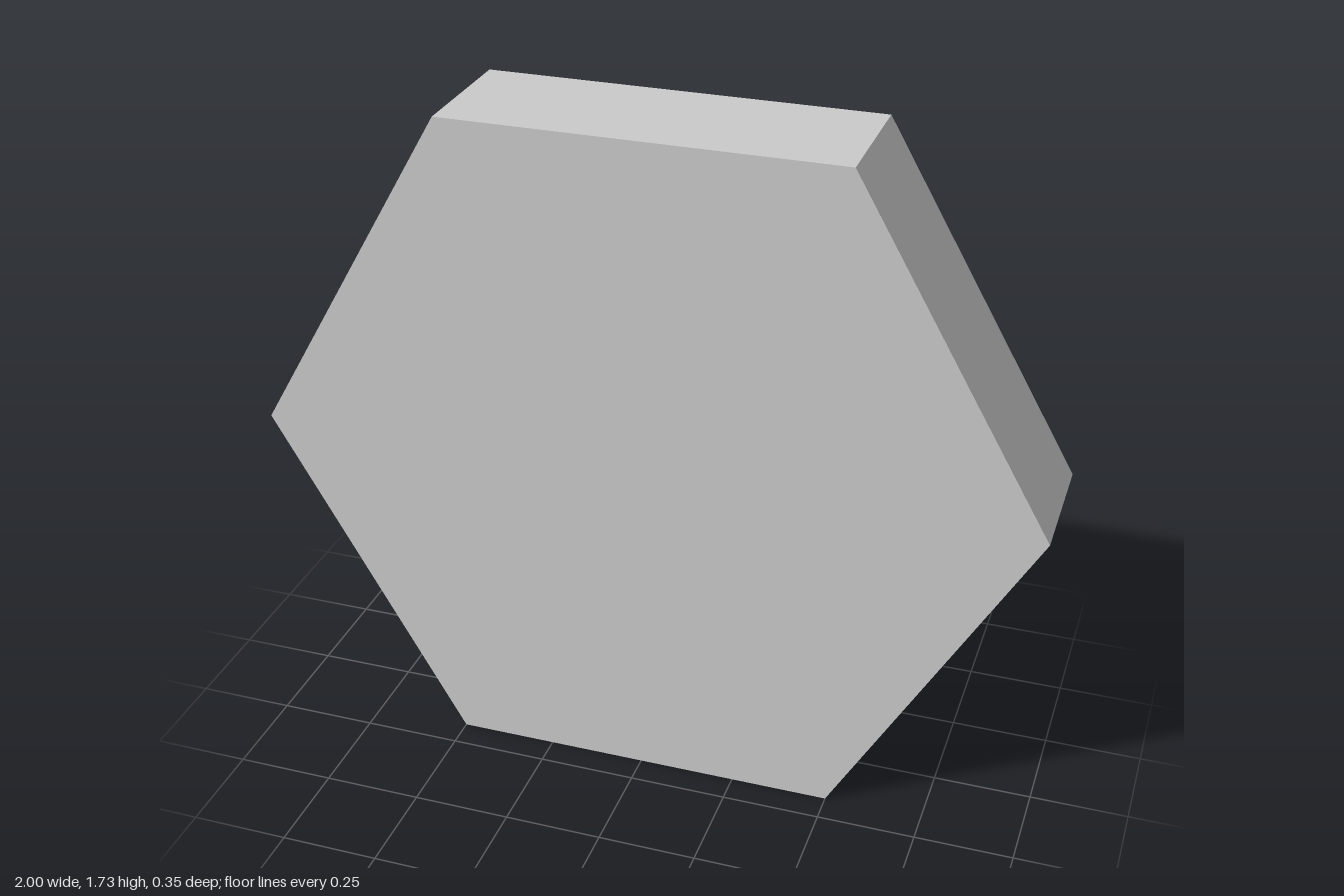
import * as THREE from 'three';

const RADIUS = 1;          // corner radius of the hexagon
const THICKNESS = 0.346;
const RECESS_RADIUS = 0.61;
const RECESS_DEPTH = 0.087;
const SEGMENTS = 96;

function hexagon() {
  const corners = [];
  for (let i = 0; i < 6; i++) {
    const a = (i * Math.PI) / 3;
    corners.push(new THREE.Vector2(RADIUS * Math.cos(a), RADIUS * Math.sin(a)));
  }
  return new THREE.Shape(corners);
}

export function createModel() {
  const group = new THREE.Group();
  group.name = 'hexagonalPlate';
  const smooth = new THREE.MeshStandardMaterial({ color: 0xcccccc });
  const flat = new THREE.MeshStandardMaterial({ color: 0xcccccc, flatShading: true });
  const centreY = (RADIUS * Math.sqrt(3)) / 2;
  const front = THICKNESS / 2;
  const back = -front;

  const add = (name, geometry, material) => {
    const mesh = new THREE.Mesh(geometry, material);
    mesh.name = name;
    mesh.position.y = centreY;
    group.add(mesh);
  };

  // Six outer sides, with corners pointing left and right
  add('outerSides', new THREE.CylinderGeometry(RADIUS, RADIUS, THICKNESS, 6, 1, true, Math.PI / 6)
    .rotateX(Math.PI / 2), flat);

  // Plain front face
  add('frontFace', new THREE.ShapeGeometry(hexagon()).translate(0, 0, front), flat);

  // Back face around the round recess
  const rim = hexagon();
  rim.holes.push(new THREE.Path().absarc(0, 0, RECESS_RADIUS, 0, Math.PI * 2, true));
  add('backFace', new THREE.ShapeGeometry(rim, SEGMENTS / 2)
    .rotateY(Math.PI).translate(0, 0, back), flat);

  // Recess wall (facing inwards) and floor
  const wall = [
    new THREE.Vector2(RECESS_RADIUS, back + RECESS_DEPTH),
    new THREE.Vector2(RECESS_RADIUS, back),
  ];
  add('recessWall', new THREE.LatheGeometry(wall, SEGMENTS).rotateX(Math.PI / 2), smooth);
  add('recessFloor', new THREE.CircleGeometry(RECESS_RADIUS, SEGMENTS)
    .rotateY(Math.PI).translate(0, 0, back + RECESS_DEPTH), flat);

  return group;
}
